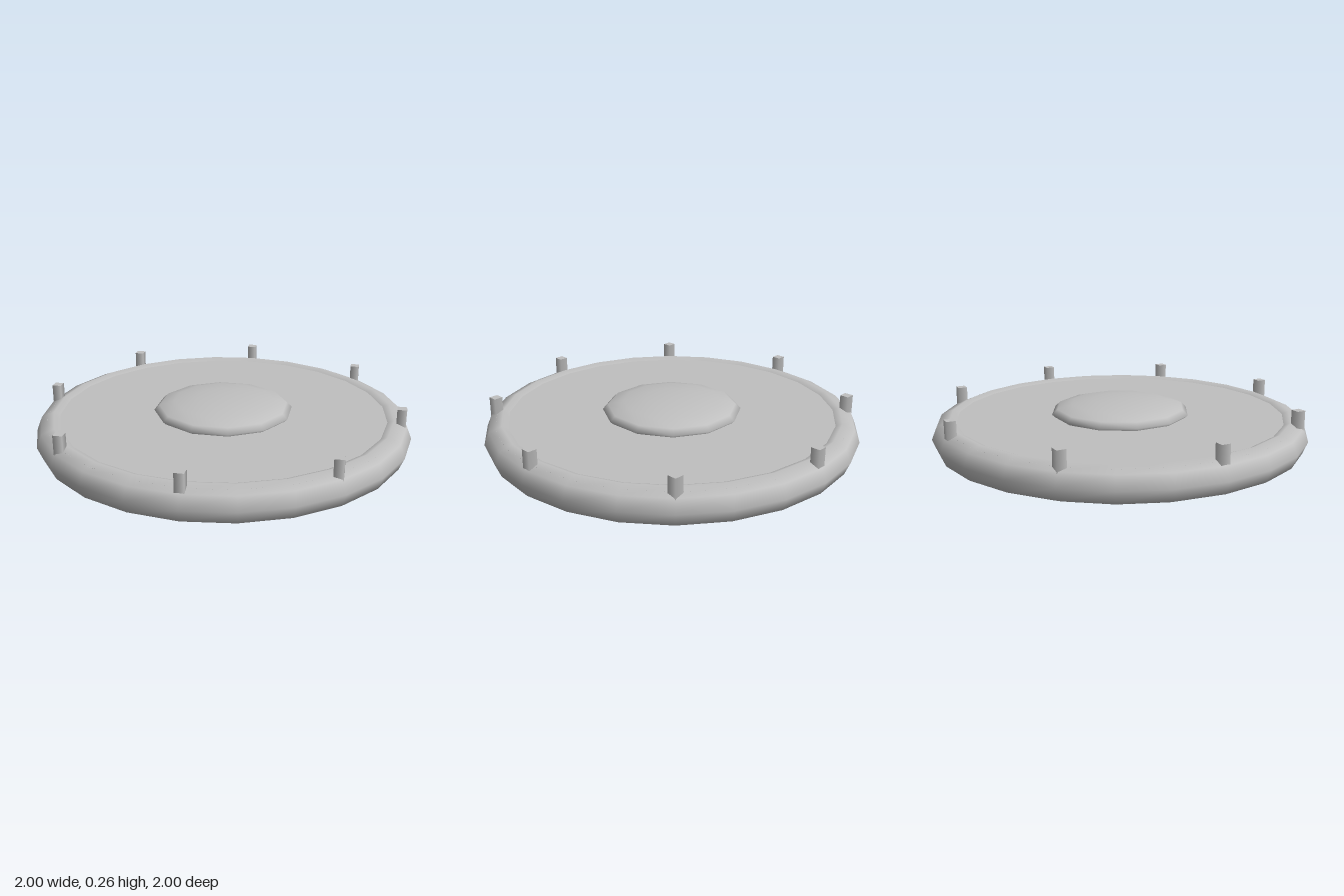
import * as THREE from 'three';

export function createModel() {
  const model = new THREE.Group();
  const grey = new THREE.MeshStandardMaterial({ color: 0xc0c0c0 });
  grey.name = 'grey';

  const add = (name, geometry, x, y, z) => {
    const mesh = new THREE.Mesh(geometry, grey);
    mesh.name = name;
    mesh.position.set(x, y, z);
    model.add(mesh);
    return mesh;
  };

  const tube = 0.094;
  const ringRadius = 1 - tube;

  // rounded outer rim
  const rim = new THREE.TorusGeometry(ringRadius, tube, 8, 24);
  rim.rotateX(-Math.PI / 2);
  add('rim', rim, 0, tube, 0);

  // flat plate filling the rim
  add('plate', new THREE.CylinderGeometry(0.94, 0.94, 0.16, 24), 0, tube, 0);

  // shallow dome in the middle
  const dome = new THREE.SphereGeometry(0.372, 12, 8);
  dome.scale(1, 0.19, 1);
  add('centreDome', dome, 0, 0.188, 0);

  // eight square pegs standing on the rim, all turned the same way
  const peg = new THREE.CylinderGeometry(0.034, 0.034, 0.15, 4);
  for (let i = 0; i < 8; i++) {
    const a = (i * Math.PI) / 4;
    add('peg' + (i + 1), peg, 0.942 * Math.sin(a), 0.183, 0.942 * Math.cos(a));
  }

  return model;
}
